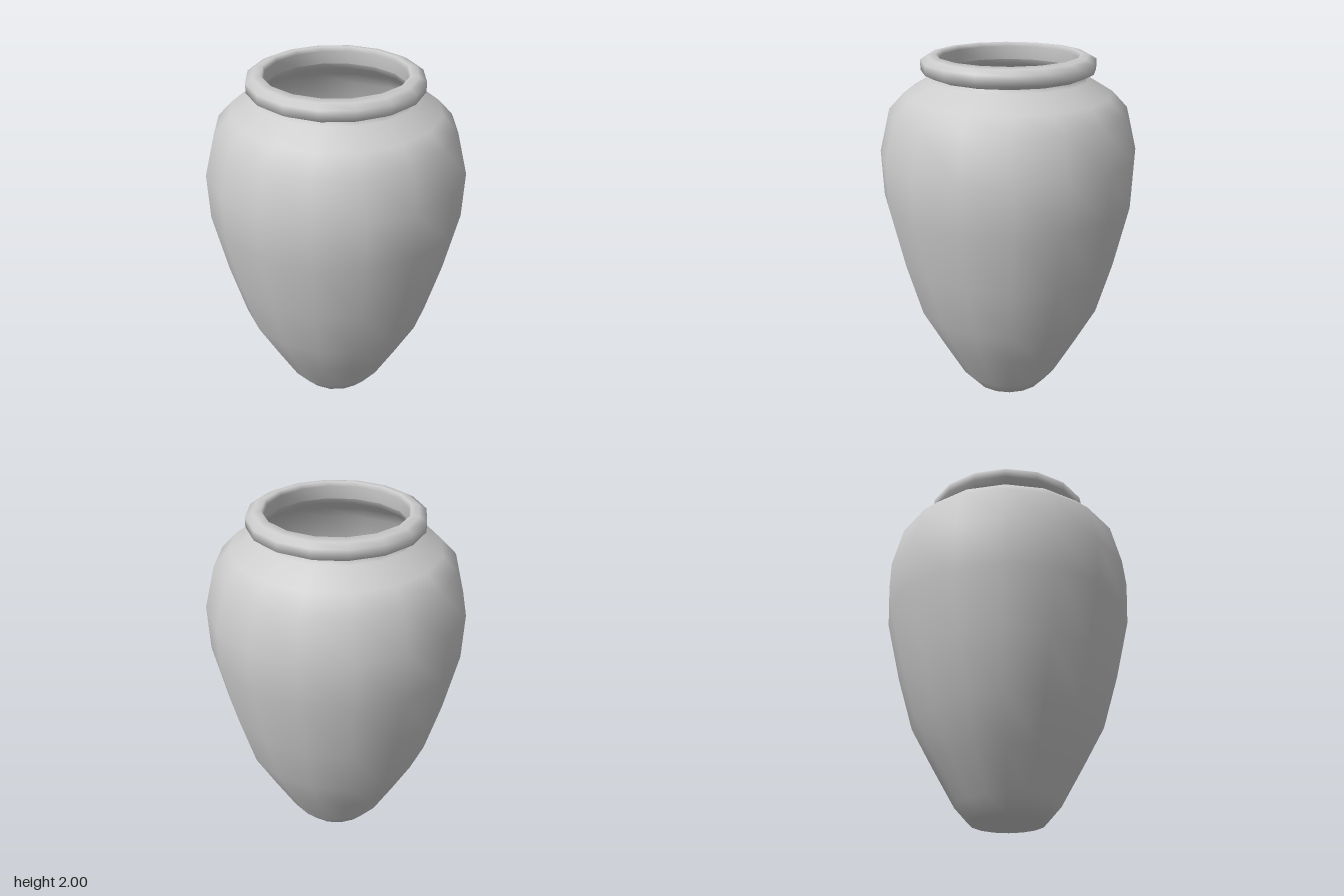
import * as THREE from 'three';

const SIDES = 16;

export function createModel() {
  const group = new THREE.Group();
  const material = new THREE.MeshStandardMaterial({ color: 0xcccccc, side: THREE.DoubleSide });

  // Turns a list of [radius, height] pairs into a smooth lathed part
  function turn(name, profile) {
    const points = profile.map(([r, y]) => new THREE.Vector2(r, y));
    const mesh = new THREE.Mesh(new THREE.LatheGeometry(points, SIDES), material);
    mesh.name = name;
    group.add(mesh);
  }

  // Outer wall, from the foot up to the shoulder and neck
  const wall = [
    [0.21, 0], [0.29, 0.09], [0.42, 0.32], [0.54, 0.54], [0.63, 0.85],
    [0.71, 1.2], [0.72, 1.46], [0.66, 1.7], [0.575, 1.79], [0.44, 1.87],
  ];
  turn('body', [[0, 0], ...wall, [0.43, 1.89]]);

  // Rounded lip around the mouth
  turn('lip', [
    [0.43, 1.89], [0.48, 1.915], [0.48, 1.97], [0.44, 1.993],
    [0.395, 2], [0.385, 1.975], [0.395, 1.9],
  ]);

  // Hollow inside, a thin offset of the outer wall running downwards
  const inner = wall.slice(1).reverse().map(([r, y]) => [r - 0.03, y - 0.005]);
  turn('inside', [[0.395, 1.9], ...inner, [0.19, 0.03], [0, 0.03]]);

  return group;
}
